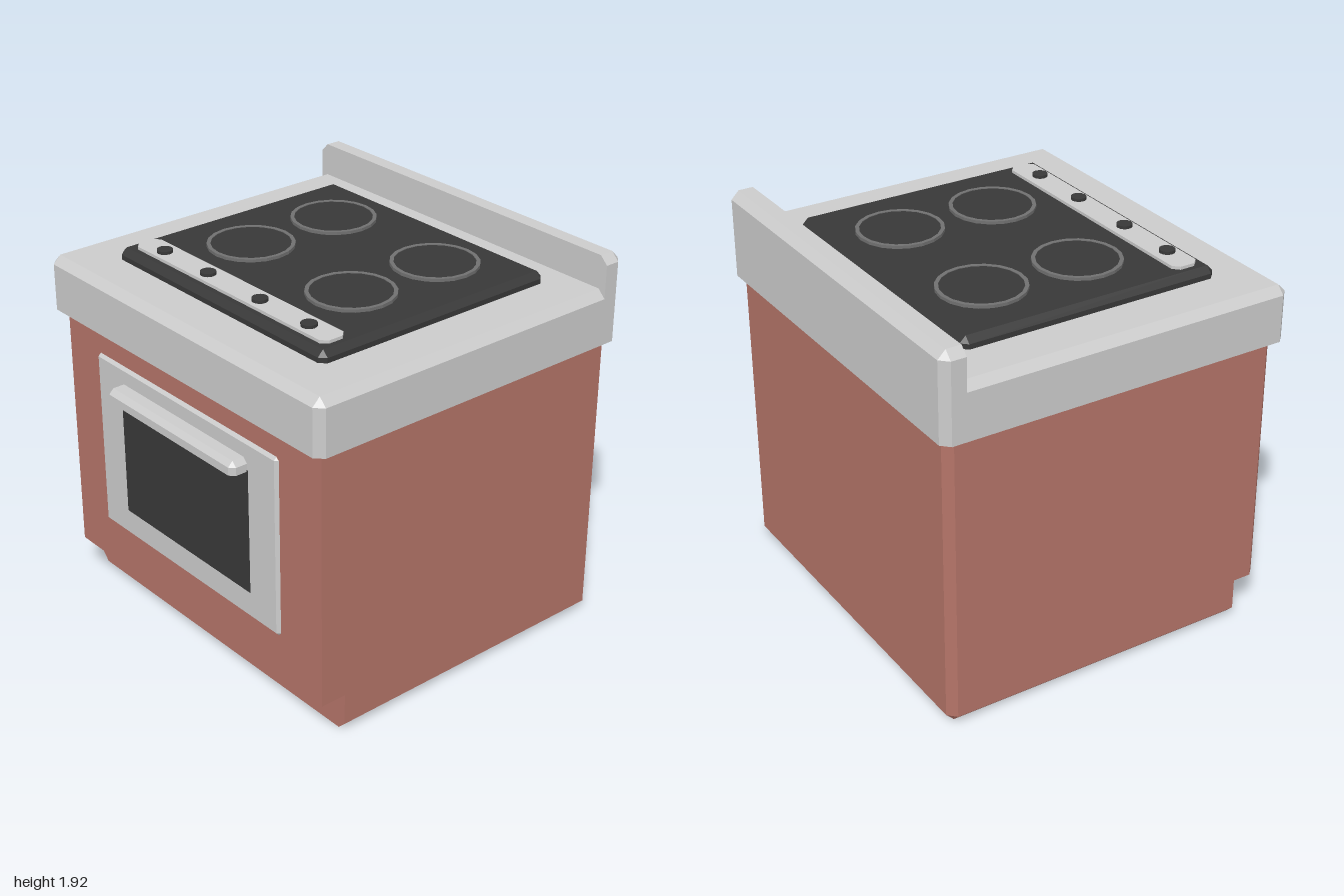
import * as THREE from 'three';
import { ConvexGeometry } from 'three/addons/geometries/ConvexGeometry.js';

const material = (color) => new THREE.MeshStandardMaterial({ color, flatShading: true });
const GREY = material(0xcccccc);
const BROWN = material(0xb47468);
const BLACK = material(0x383838);
const RING = material(0x707070);

// Box with chamfers of size c on the listed sides; the z ends follow those sides
function chamferBox([x0, x1], [y0, y1], [z0, z1], c, sides) {
  const has = (side) => sides.includes(side);
  const points = [];
  const addLevel = (y, inset) => {
    for (const right of [false, true]) {
      for (const front of [false, true]) {
        const whole = has(right ? 'right' : 'left');
        const cut = whole || (!right && !front && has('leftBack')) ? c - inset : 0;
        const dx = right ? -1 : 1;
        const dz = front ? -1 : 1;
        const x = (right ? x1 : x0) + (whole ? dx * inset : 0);
        const z = (front ? z1 : z0) + dz * inset;
        points.push(new THREE.Vector3(x + dx * cut, y, z));
        if (cut > 0) points.push(new THREE.Vector3(x, y, z + dz * cut));
      }
    }
  };
  if (has('bottom')) addLevel(y0, c);
  addLevel(has('bottom') ? y0 + c : y0, 0);
  addLevel(has('top') ? y1 - c : y1, 0);
  if (has('top')) addLevel(y1, c);
  return new ConvexGeometry(points);
}

export function createModel() {
  const model = new THREE.Group();
  model.name = 'stove';
  const add = (name, geometry, mat, x = 0, y = 0, z = 0) => {
    const mesh = new THREE.Mesh(geometry, mat);
    mesh.name = name;
    mesh.position.set(x, y, z);
    model.add(mesh);
    return mesh;
  };

  // Cabinet with a recessed toe kick
  const depth = [-0.965, 0.965];
  add('cabinet', chamferBox([-0.84, 0.905], [0.2, 1.5], depth, 0.04, ['leftBack', 'right']), BROWN);
  add('toeKick', chamferBox([-0.705, 0.905], [0, 0.2], depth, 0.04, ['right', 'bottom']), BROWN);

  // Worktop and raised back panel
  add('worktop', chamferBox([-0.885, 0.84], [1.485, 1.76], [-1, 1], 0.04, ['left', 'top']), GREY);
  add('backPanel', chamferBox([0.82, 0.935], [1.485, 1.925], [-1, 1], 0.04, ['right', 'top']), GREY);

  // Oven door, modelled lying flat and turned upright
  const door = add('ovenDoor',
    chamferBox([0.43, 1.35], [0.82, 0.855], [-0.68, 0.68], 0.015, ['left', 'right', 'top']), GREY);
  door.rotation.z = Math.PI / 2;
  add('ovenWindow', new THREE.BoxGeometry(0.02, 0.64, 0.96), BLACK, -0.847, 0.89, 0);
  add('ovenHandle',
    chamferBox([-0.94, -0.85], [1.2, 1.265], [-0.485, 0.475], 0.025, ['left', 'top']), GREY);

  // Hob plate and control strip
  add('hob', chamferBox([-0.655, 0.685], [1.75, 1.815], [-0.75, 0.75], 0.03, ['left', 'right', 'top']), BLACK);
  add('controlStrip',
    chamferBox([-0.6, -0.465], [1.81, 1.83], [-0.695, 0.695], 0.03, ['left', 'right']), GREY);

  // Knobs
  const knobGeometry = new THREE.CylinderGeometry(0.038, 0.038, 0.03, 16);
  for (const z of [-0.53, -0.195, 0.185, 0.525]) add('knob', knobGeometry, BLACK, -0.54, 1.83, z);

  // Burners: a dark plate inside a slim ring
  const plateGeometry = new THREE.CylinderGeometry(0.194, 0.194, 0.02, 20);
  const ringProfile = [[0.193, 1.81], [0.212, 1.81], [0.212, 1.83], [0.193, 1.83], [0.193, 1.81]]
    .map(([r, y]) => new THREE.Vector2(r, y));
  const ringGeometry = new THREE.LatheGeometry(ringProfile, 20);
  for (const x of [-0.157, 0.355]) {
    for (const z of [-0.365, 0.36]) {
      add('burnerPlate', plateGeometry, BLACK, x, 1.817, z);
      add('burnerRing', ringGeometry, RING, x, 0, z);
    }
  }
  return model;
}
